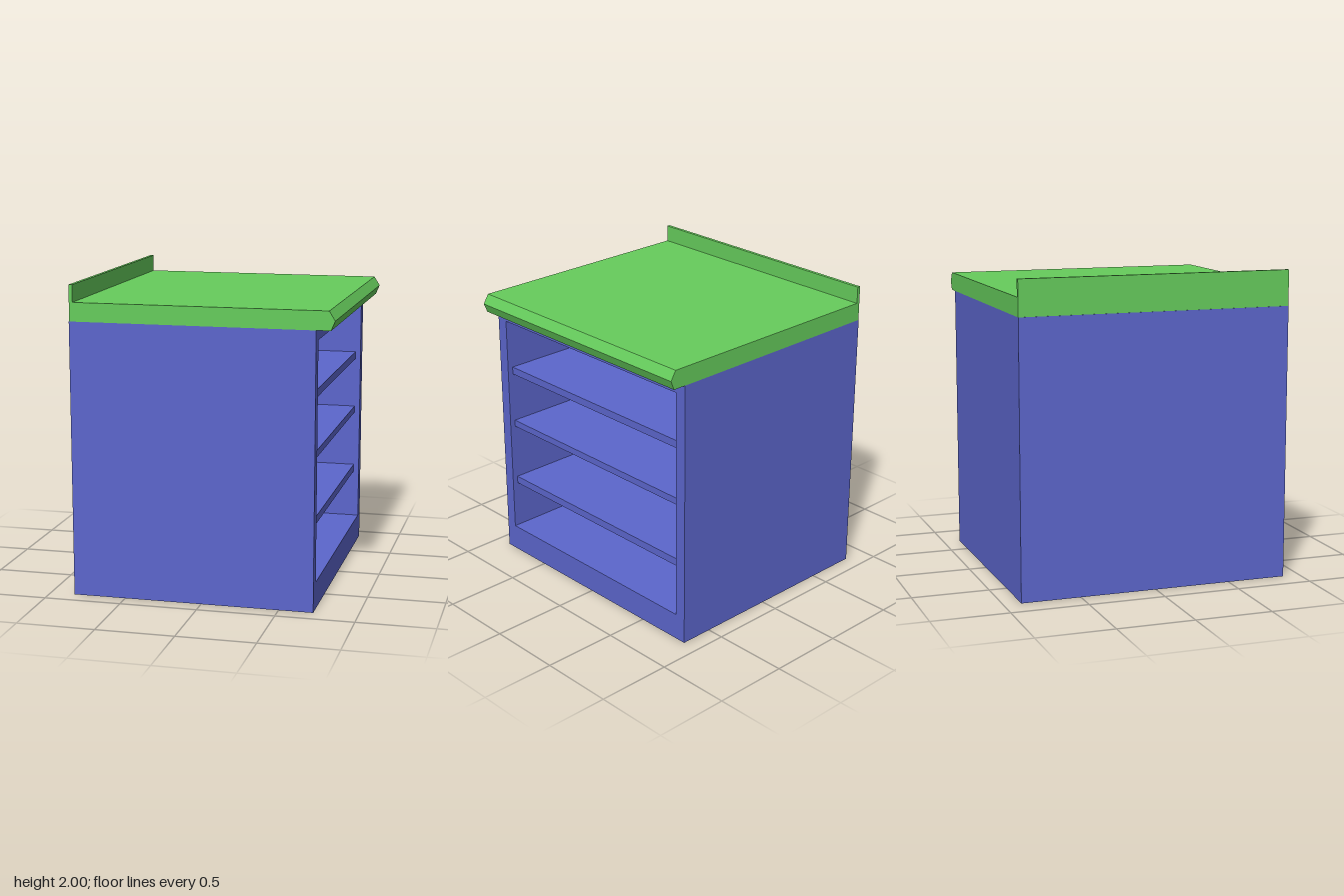
import * as THREE from 'three';

const BLUE = new THREE.MeshStandardMaterial({ color: 0x5c66cc });
const GREEN = new THREE.MeshStandardMaterial({ color: 0x66cc5c });

const HALF_DEPTH = 0.887;
const BACK = -0.84, FACE = 0.72, CAVITY_BACK = -0.76;
const HEIGHT = 1.77;

function shapeOf(points, Type = THREE.Shape) {
  return new Type(points.map(([x, y]) => new THREE.Vector2(x, y)));
}

function rectangle(half, bottom, top) {
  return [[-half, bottom], [half, bottom], [half, top], [-half, top]];
}

function addMesh(parent, name, geometry, material) {
  const mesh = new THREE.Mesh(geometry, material);
  mesh.name = name;
  parent.add(mesh);
  return mesh;
}

// Box given by its limits in x and y, centred on z
function slab(x0, x1, y0, y1, halfZ) {
  return new THREE.BoxGeometry(x1 - x0, y1 - y0, halfZ * 2)
    .translate((x0 + x1) / 2, (y0 + y1) / 2, 0);
}

export function createModel() {
  const model = new THREE.Group();
  model.name = 'baseCabinet';

  // Hollow carcass, open towards +x
  const carcass = shapeOf(rectangle(HALF_DEPTH, 0, HEIGHT));
  carcass.holes.push(shapeOf(rectangle(0.81, 0.175, 1.7).reverse(), THREE.Path));
  const carcassGeometry = new THREE.ExtrudeGeometry(carcass, {
    depth: FACE - CAVITY_BACK, bevelEnabled: false,
  }).rotateY(Math.PI / 2).translate(CAVITY_BACK, 0, 0);
  addMesh(model, 'carcass', carcassGeometry, BLUE);
  addMesh(model, 'backPanel', slab(BACK, CAVITY_BACK, 0, HEIGHT, HALF_DEPTH), BLUE);

  // Shelves, set slightly back from the opening
  const shelves = new THREE.Group();
  shelves.name = 'shelves';
  model.add(shelves);
  [[0.5, 0.55], [0.93, 0.975], [1.315, 1.365]].forEach(([y0, y1], i) => {
    addMesh(shelves, `shelf${i + 1}`, slab(CAVITY_BACK, FACE - 0.035, y0, y1, 0.806), BLUE);
  });

  // Countertop with pointed front edge and upstand in one profile
  const profile = shapeOf([
    [-0.837, HEIGHT], [0.81, HEIGHT], [0.835, 1.83], [0.798, 1.89],
    [-0.814, 1.89], [-0.814, 2], [-0.837, 2],
  ]);
  const counter = new THREE.ExtrudeGeometry(profile, {
    depth: HALF_DEPTH * 2, bevelEnabled: false,
  }).translate(0, 0, -HALF_DEPTH);
  addMesh(model, 'countertop', counter, GREEN);

  return model;
}
